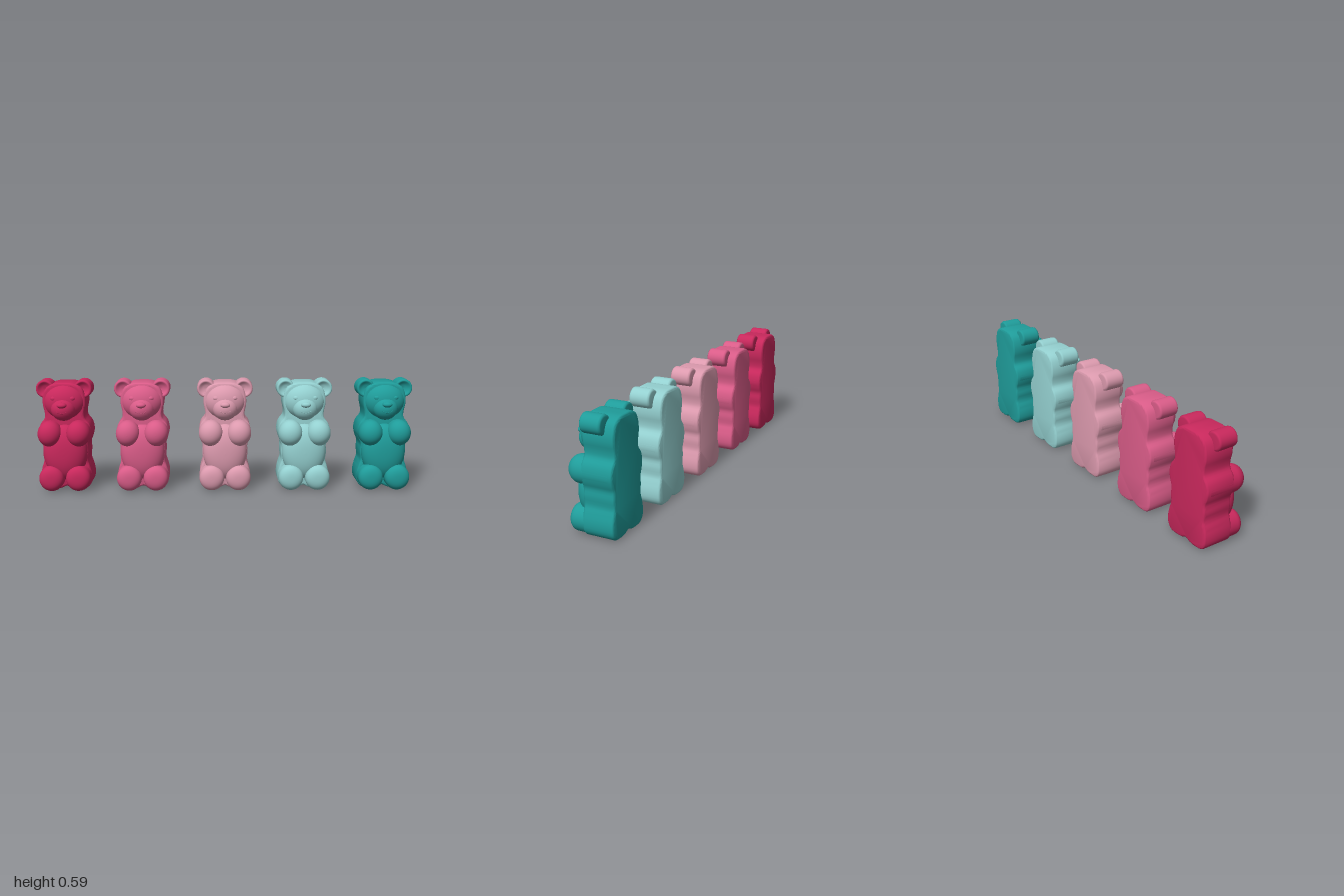
import * as THREE from 'three';
import { toCreasedNormals } from 'three/addons/utils/BufferGeometryUtils.js';

const BACK = -0.125;

// Flat-backed lobe running along z with a domed front (lathe turned to face +z).
function lobe(x, y, rx, ry, zFront, dome, power = 2, zBack = BACK + 0.012) {
  const pts = [new THREE.Vector2(0, zBack), new THREE.Vector2(0.97, zBack + 0.001), new THREE.Vector2(1, zBack + 0.01)];
  for (let i = 0; i <= 14; i++) {
    const a = (i / 14) * Math.PI / 2;
    const r = i === 14 ? 0 : Math.pow(Math.cos(a), 2 / power);
    const s = Math.pow(Math.sin(a), 2 / power);
    pts.push(new THREE.Vector2(r, zFront - dome + dome * s));
  }
  const g = new THREE.LatheGeometry(pts, 40);
  g.rotateX(Math.PI / 2);
  g.scale(rx, ry, 1);
  g.translate(x, y, 0);
  return g;
}

function ball(x, y, z, rx, ry, rz) {
  const g = new THREE.SphereGeometry(1, 28, 18);
  g.scale(rx, ry, rz);
  g.translate(x, y, z);
  return g;
}

// Moulded core: mirrored outline, extruded with a soft edge.
function coreGeometry() {
  const half = [
    [0.03, 0.004], [0.07, 0.001], [0.11, 0.007], [0.133, 0.035], [0.137, 0.08],
    [0.127, 0.125], [0.118, 0.155], [0.122, 0.2], [0.12, 0.24], [0.131, 0.27],
    [0.139, 0.31], [0.129, 0.355], [0.106, 0.387], [0.105, 0.42], [0.113, 0.46],
    [0.111, 0.505], [0.092, 0.55], [0.05, 0.572],
  ];
  const v = half.map(([x, y]) => new THREE.Vector3(x, y, 0));
  const mirrored = half.map(([x, y]) => new THREE.Vector3(-x, y, 0)).reverse();
  const loop = [new THREE.Vector3(0, 0.016, 0), ...v, new THREE.Vector3(0, 0.575, 0), ...mirrored];
  const outline = new THREE.CatmullRomCurve3(loop, true).getPoints(120);
  outline.pop();
  const shape = new THREE.Shape(outline.map((p) => new THREE.Vector2(p.x, p.y)));
  const bevel = 0.014;
  const g = new THREE.ExtrudeGeometry(shape, {
    depth: 0.165 - 2 * bevel, bevelEnabled: true, bevelSize: bevel,
    bevelThickness: bevel, bevelOffset: -bevel, bevelSegments: 4,
  });
  g.translate(0, 0, BACK + bevel);
  return toCreasedNormals(g, 0.7);
}

// Round ear with a raised rim and a dished front.
function earGeometry(side) {
  const pts = [
    [0, -0.077], [0.036, -0.077], [0.044, -0.074], [0.048, -0.066], [0.048, 0.018],
    [0.046, 0.026], [0.041, 0.03], [0.035, 0.028], [0.028, 0.021], [0.016, 0.015], [0, 0.013],
  ].map(([r, z]) => new THREE.Vector2(r, z));
  const g = new THREE.LatheGeometry(pts, 36);
  g.rotateX(Math.PI / 2);
  g.translate(side * 0.1, 0.542, 0);
  return g;
}

// Thin curved mouth line across the muzzle.
function mouthGeometry() {
  const curve = new THREE.QuadraticBezierCurve3(
    new THREE.Vector3(-0.027, 0.434, 0.1085),
    new THREE.Vector3(0, 0.414, 0.113),
    new THREE.Vector3(0.027, 0.434, 0.1085),
  );
  return new THREE.TubeGeometry(curve, 14, 0.0025, 6);
}

export function createModel() {
  const parts = [
    ['body', coreGeometry()],
    ['belly', lobe(0, 0.205, 0.118, 0.15, 0.105, 0.075, 2.3)],
    ['head', lobe(0, 0.473, 0.112, 0.098, 0.088, 0.085, 2.1)],
    ['muzzle', ball(0, 0.44, 0.055, 0.066, 0.062, 0.06)],
    ['nose', ball(0, 0.467, 0.107, 0.026, 0.015, 0.02)],
    ['mouth', mouthGeometry()],
  ];
  for (const [name, side] of [['left', 1], ['right', -1]]) {
    parts.push(
      [name + 'Ear', earGeometry(side)],
      [name + 'Eye', ball(side * 0.046, 0.497, 0.067, 0.019, 0.014, 0.014)],
      [name + 'Arm', lobe(side * 0.075, 0.309, 0.064, 0.069, 0.127, 0.065, 2.1)],
      [name + 'Leg', lobe(side * 0.071, 0.07, 0.066, 0.068, 0.123, 0.045, 2.4)],
    );
  }

  // Row of five bears sharing the same parts, each in its own colour.
  const row = [
    ['crimson', -0.852, 0xc8285c], ['rose', -0.44, 0xd95c88], ['palePink', 0.0, 0xdc9aae],
    ['paleTeal', 0.423, 0x94d0d0], ['teal', 0.85, 0x1f9c9a],
  ];
  const model = new THREE.Group();
  model.name = 'gummyBears';
  for (const [name, x, color] of row) {
    const material = new THREE.MeshStandardMaterial({ color });
    const bear = new THREE.Group();
    bear.name = name + 'Bear';
    for (const [part, geometry] of parts) {
      const mesh = new THREE.Mesh(geometry, material);
      mesh.name = part;
      bear.add(mesh);
    }
    bear.position.x = x;
    model.add(bear);
  }
  return model;
}
